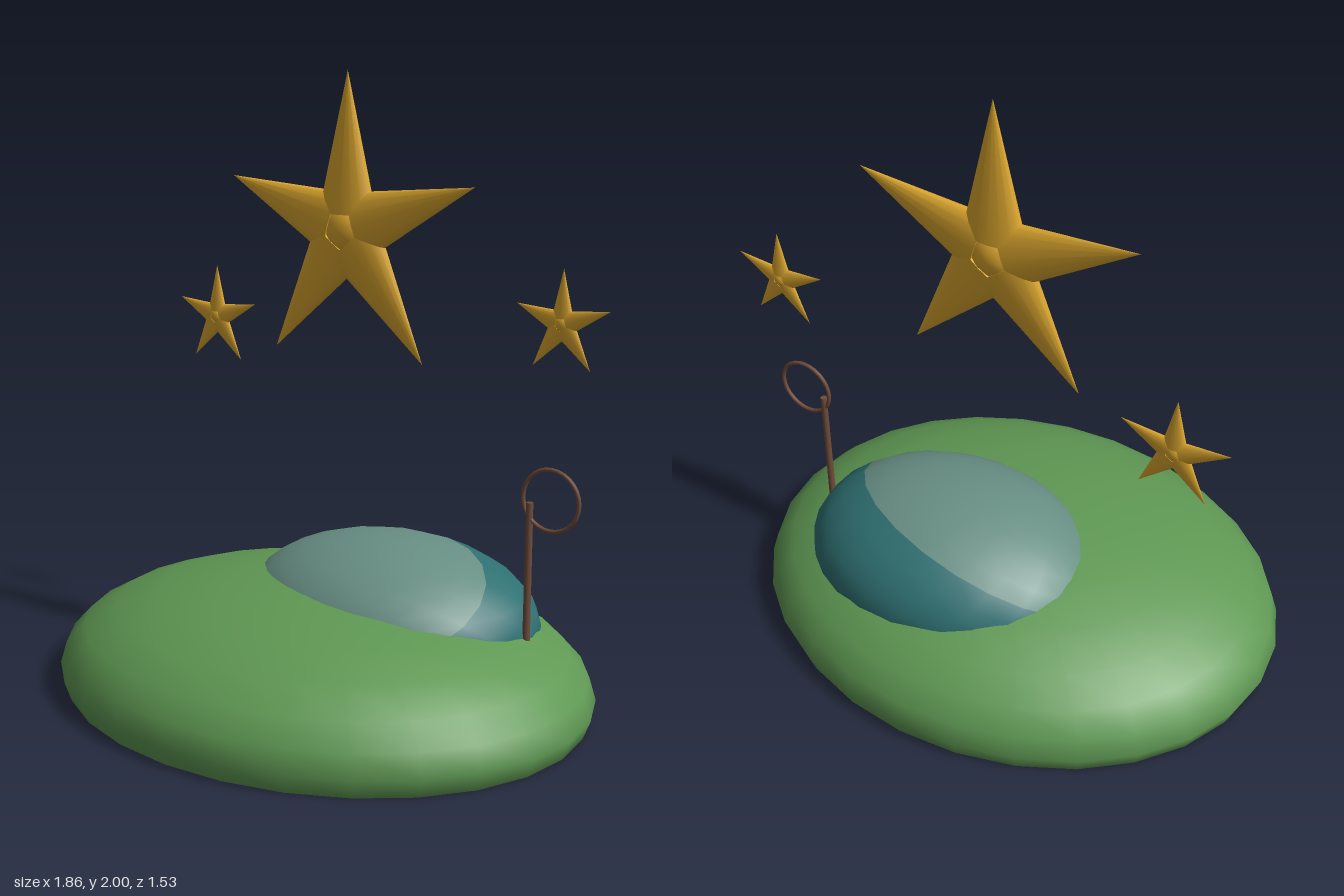
import * as THREE from 'three';

const mat = (name, color, side = THREE.FrontSide) => {
  const m = new THREE.MeshStandardMaterial({ color, side });
  m.name = name;
  return m;
};

export function createModel() {
  const green = mat('grassGreen', 0x5f9853);
  const teal = mat('deepTeal', 0x2f7072, THREE.DoubleSide);
  const sage = mat('paleSage', 0x688f84, THREE.DoubleSide);
  const gold = mat('gold', 0xdfa92f);
  const brown = mat('bronzeBrown', 0x6f4c3b);

  const model = new THREE.Group();
  model.name = 'starryHill';
  const add = (parent, name, geometry, material) => {
    const mesh = new THREE.Mesh(geometry, material);
    mesh.name = name;
    parent.add(mesh);
    return mesh;
  };

  // Hill: squashed ellipsoid cut flat at the ground
  const hill = new THREE.SphereGeometry(1, 28, 8, 0, Math.PI * 2, 0, Math.PI * 8 / 14);
  hill.scale(0.93, 0.33, 0.765).translate(0, 0.06, 0);
  const p = hill.attributes.position;
  for (let i = 0; i < p.count; i++) p.setY(i, Math.max(0, p.getY(i)));
  add(model, 'hill', hill, green);

  // Gold underside closing the hill
  const base = new THREE.CircleGeometry(1, 28);
  base.rotateX(Math.PI / 2).scale(0.907, 1, 0.746);
  add(model, 'underside', base, gold);

  // Mound on the hill: one ellipsoid, split by a tilted plane into two colours
  const split = 1.283;
  const tilt = new THREE.Quaternion().setFromUnitVectors(
    new THREE.Vector3(0, 1, 0), new THREE.Vector3(-0.342, 0.741, 0.577).normalize());
  const moundPart = (name, start, length, rows, material) => {
    const g = new THREE.SphereGeometry(1, 22, rows, 0, Math.PI * 2, start, length);
    g.applyQuaternion(tilt).scale(0.52, 0.26, 0.405).translate(0.16, 0.25, -0.17);
    // Keep the buried part inside the hill
    const q = g.attributes.position;
    for (let i = 0; i < q.count; i++) q.setY(i, Math.max(0.1, q.getY(i)));
    add(model, name, g, material);
  };
  moundPart('moundCap', 0, split, 7, sage);
  moundPart('moundSide', split, Math.PI - split, 9, teal);

  // Stars: five flattened cones around a small core
  const star = (name, x, y, z, radius) => {
    const group = new THREE.Group();
    group.name = name;
    for (let i = 0; i < 5; i++) {
      const arm = new THREE.ConeGeometry(0.22, 0.9, 16);
      arm.translate(0, 0.55, 0).scale(1, 1, 0.4).rotateZ(i * Math.PI * 2 / 5);
      add(group, 'starArm', arm, gold);
    }
    add(group, 'starCore', new THREE.SphereGeometry(1, 12, 8).scale(0.16, 0.16, 0.11), gold);
    group.position.set(x, y, z);
    group.scale.setScalar(radius);
    model.add(group);
  };
  star('largeStar', 0, 1.5, -0.14, 0.5);
  star('smallStarRight', -0.683, 1.14, -0.283, 0.183);
  star('smallStarLeft', 0.705, 1.247, -0.283, 0.168);

  // Post with a ring at its top
  add(model, 'post', new THREE.CylinderGeometry(0.011, 0.012, 0.46, 10), brown)
    .position.set(0.675, 0.48, -0.17);
  add(model, 'ring', new THREE.TorusGeometry(0.096, 0.007, 8, 28), brown)
    .position.set(0.747, 0.727, -0.17);

  return model;
}
